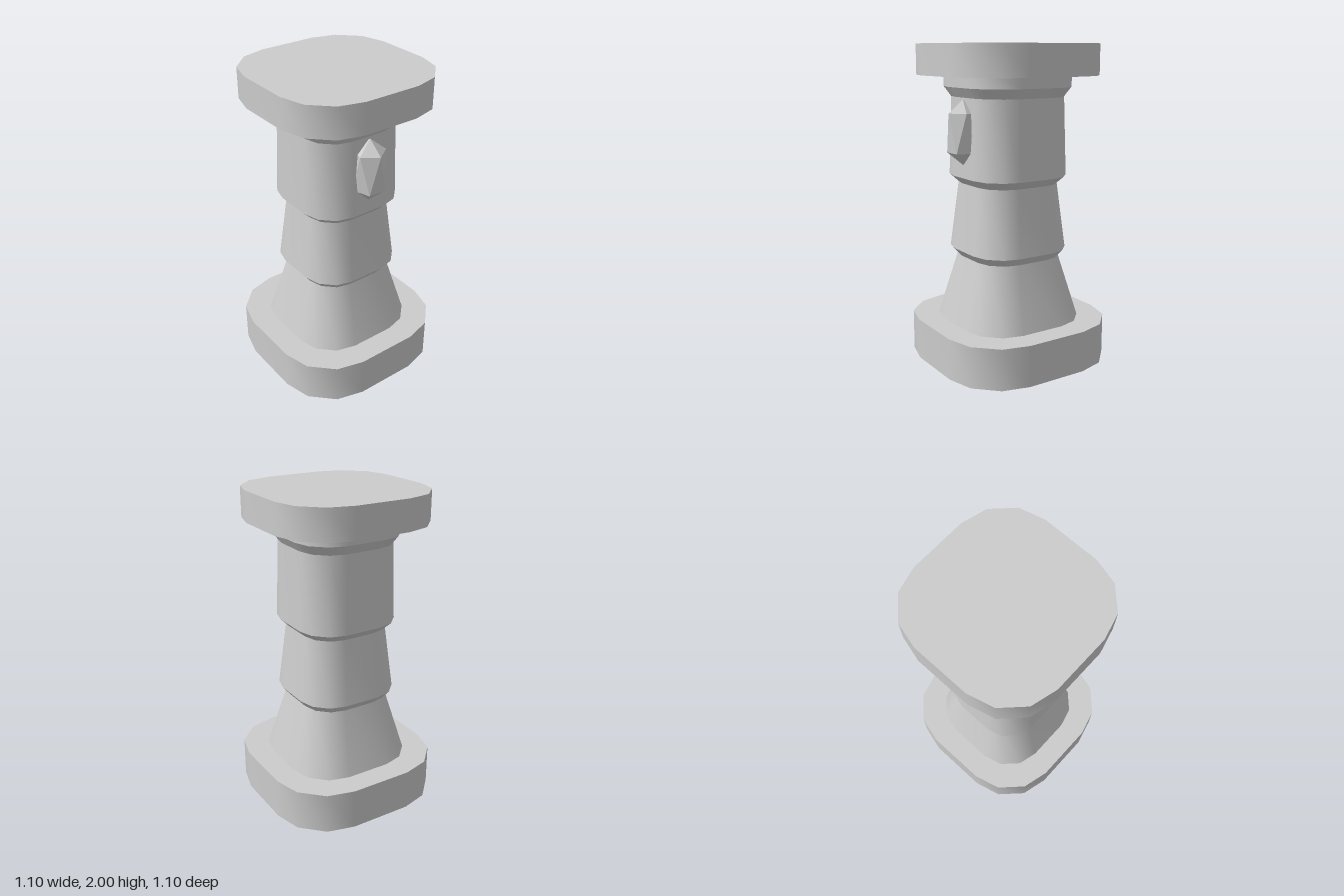
import * as THREE from 'three';
import { mergeGeometries } from 'three/addons/utils/BufferGeometryUtils.js';
import { ConvexGeometry } from 'three/addons/geometries/ConvexGeometry.js';

const material = new THREE.MeshStandardMaterial({ color: 0xcccccc });

// Rounded-square outline of half-width 1, four points per corner.
const corner = [[1, 0.36], [0.917, 0.673], [0.673, 0.917], [0.36, 1]];
const outline = [];
for (let q = 0; q < 4; q++) {
  for (const [x, z] of corner) {
    const c = [1, 0, -1, 0][q], s = [0, 1, 0, -1][q];
    outline.push([x * c - z * s, x * s + z * c]);
  }
}
const N = outline.length;

function makeGeometry(positions, index) {
  const g = new THREE.BufferGeometry();
  g.setAttribute('position', new THREE.Float32BufferAttribute(positions, 3));
  g.setIndex(index);
  g.computeVertexNormals();
  return g;
}

// Wall between two levels, smooth around and sharp at its rims.
function band(r0, y0, r1, y1) {
  const positions = [], index = [];
  for (const [x, z] of outline) positions.push(x * r0, y0, z * r0, x * r1, y1, z * r1);
  for (let i = 0; i < N; i++) {
    const a = 2 * i, b = 2 * ((i + 1) % N);
    index.push(a, a + 1, b + 1, a, b + 1, b);
  }
  return makeGeometry(positions, index);
}

// Flat lid facing up or down.
function lid(r, y, up) {
  const positions = [0, y, 0], index = [];
  for (const [x, z] of outline) positions.push(x * r, y, z * r);
  for (let i = 0; i < N; i++) {
    const a = 1 + i, b = 1 + ((i + 1) % N);
    index.push(0, ...(up ? [b, a] : [a, b]));
  }
  return makeGeometry(positions, index);
}

// Closed solid from [half-width, height] levels, bottom to top.
function loft(name, levels) {
  const last = levels[levels.length - 1];
  const parts = [lid(...levels[0], false), lid(...last, true)];
  for (let i = 1; i < levels.length; i++) parts.push(band(...levels[i - 1], ...levels[i]));
  const mesh = new THREE.Mesh(mergeGeometries(parts), material);
  mesh.name = name;
  return mesh;
}

// Long crystal: two staggered five-sided rings between two tips.
function crystal() {
  const points = [new THREE.Vector3(0, 0.2, 0), new THREE.Vector3(0, -0.2, 0)];
  for (let i = 0; i < 5; i++) {
    const a = (i * 2 * Math.PI) / 5, b = a + Math.PI / 5;
    points.push(new THREE.Vector3(0.1 * Math.cos(a), 0.12, 0.1 * Math.sin(a)));
    points.push(new THREE.Vector3(0.1 * Math.cos(b), -0.12, 0.1 * Math.sin(b)));
  }
  const mesh = new THREE.Mesh(new ConvexGeometry(points), material);
  mesh.name = 'crystal';
  mesh.position.set(0.32, 1.47, 0);
  return mesh;
}

export function createModel() {
  const model = new THREE.Group();
  model.name = 'pillar';
  model.add(
    loft('basePlate', [[0.55, 0], [0.55, 0.26]]),
    // Three tapering tiers with a collar under the top plate
    loft('shaft', [
      [0.4, 0.26], [0.285, 0.67], [0.325, 0.72], [0.275, 1.14],
      [0.325, 1.19], [0.31, 1.68], [0.35, 1.74], [0.35, 1.81],
    ]),
    loft('topPlate', [[0.5, 1.81], [0.5, 2]]),
    crystal(),
  );
  return model;
}
